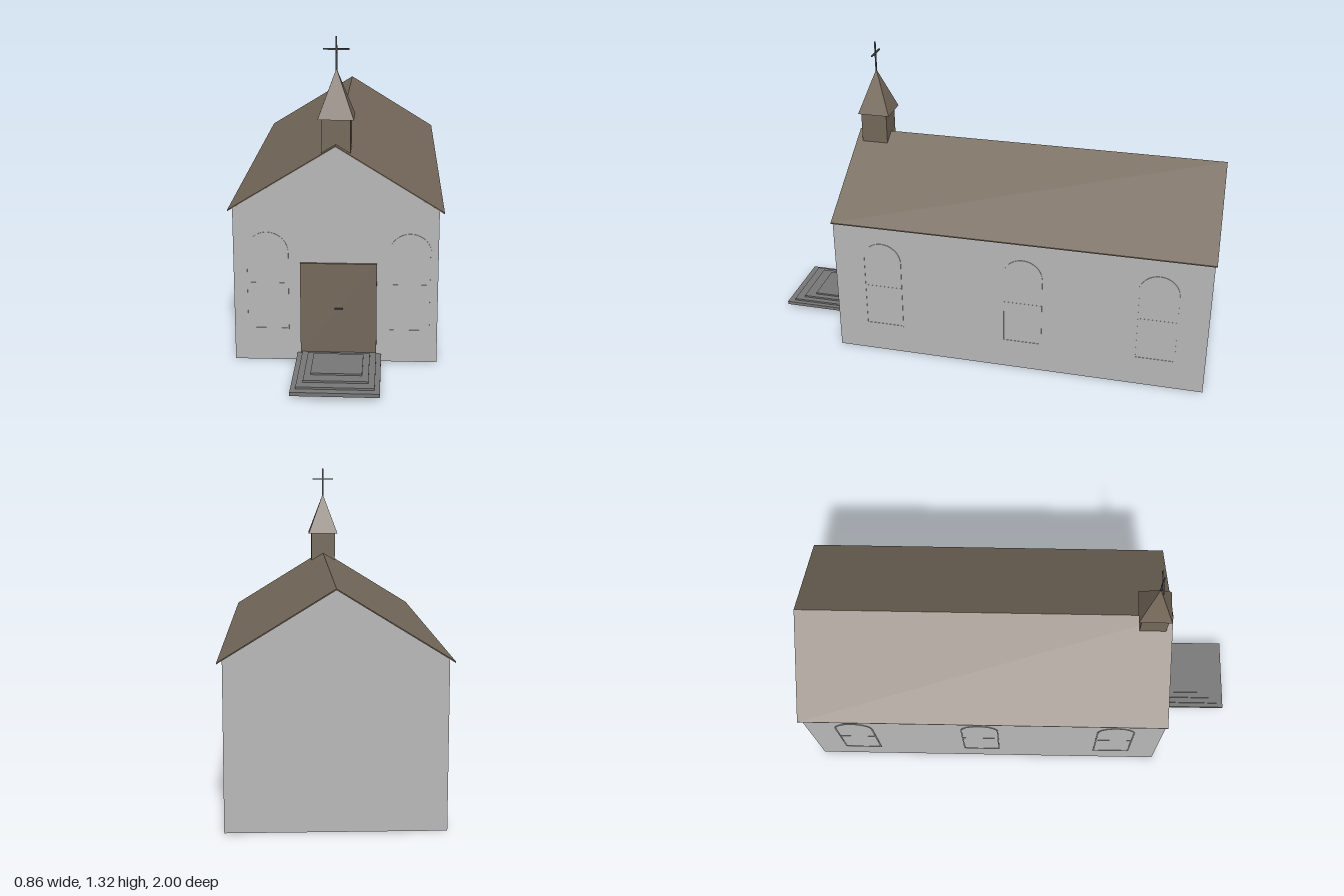
import * as THREE from 'three';

const mat = (name, color, side = THREE.FrontSide) => {
  const m = new THREE.MeshStandardMaterial({ color, side });
  m.name = name;
  return m;
};

export function createModel() {
  const wall = mat('pale stone', 0xb8b8b8);
  const brown = mat('brown timber', 0x74685a);
  const stone = mat('step stone', 0x777777);
  const iron = mat('dark iron', 0x4a4d52);
  const root = new THREE.Group();
  root.name = 'chapel';
  const CX = -0.005; // ridge line

  const add = (name, geo, material, parent = root) => {
    const m = new THREE.Mesh(geo, material);
    m.name = name;
    parent.add(m);
    return m;
  };
  // Box given by its limits on each axis
  const box = (name, [x0, x1], [y0, y1], [z0, z1], material, parent) => {
    const m = add(name, new THREE.BoxGeometry(x1 - x0, y1 - y0, z1 - z0), material, parent);
    m.position.set((x0 + x1) / 2, (y0 + y1) / 2, (z0 + z1) / 2);
    return m;
  };
  // Outline in x and y pulled along z
  const prism = (name, pts, z0, z1, material) => {
    const shape = new THREE.Shape(pts.map(([x, y]) => new THREE.Vector2(x, y)));
    const geo = new THREE.ExtrudeGeometry(shape, { depth: z1 - z0, bevelEnabled: false });
    add(name, geo, material).position.set(CX, 0, z0);
  };

  // Gabled body and thin roof
  prism('walls', [[-0.41, 0], [0.41, 0], [0.41, 0.642], [0, 0.895], [-0.41, 0.642]], -0.99, 0.64, wall);
  prism('roof', [[-0.43, 0.63], [0, 0.895], [0.43, 0.63], [0.43, 0.635], [0, 0.9], [-0.43, 0.635]], -0.997, 0.641, brown);

  // Bell tower, spire and cross
  const TZ = 0.555;
  box('belfry', [CX - 0.058, CX + 0.058], [0.862, 1], [TZ - 0.058, TZ + 0.058], brown);
  const spireGeo = new THREE.ConeGeometry(0.071 * Math.SQRT2, 0.192, 4).toNonIndexed();
  spireGeo.rotateY(Math.PI / 4);
  spireGeo.computeVertexNormals();
  add('spire', spireGeo, brown).position.set(CX, 1.094, TZ - 0.003);
  const cross = new THREE.Group();
  cross.name = 'cross';
  cross.position.set(CX, 0, TZ - 0.003);
  root.add(cross);
  box('crossPost', [-0.003, 0.003], [1.175, 1.315], [-0.003, 0.003], iron, cross);
  box('crossBar', [-0.051, 0.051], [1.262, 1.268], [-0.003, 0.003], iron, cross);

  // Door with handle
  box('door', [-0.147, 0.16], [0.035, 0.42], [0.635, 0.65], brown);
  box('doorHandle', [-0.008, 0.026], [0.227, 0.232], [0.65, 0.656], iron);

  // Stacked entrance steps, each set in from the one below
  [[0.17, 0.018, 0.033, 0.642, 1], [0.15, 0.033, 0.041, 0.65, 0.97],
    [0.125, 0.041, 0.049, 0.675, 0.93], [0.1, 0.049, 0.056, 0.7, 0.88]]
    .forEach(([w, y0, y1, z0, z1], i) =>
      box(`step${i + 1}`, [0.01 - w, 0.01 + w], [y0, y1], [z0, z1], stone));

  // Arched window: a flat pane with a slightly raised frame
  const arch = (Type, r, y0) => {
    const s = new Type();
    s.moveTo(-r, y0);
    s.lineTo(r, y0);
    s.lineTo(r, 0.46);
    s.absarc(0, 0.46, r, 0, Math.PI, false);
    s.lineTo(-r, y0);
    return s;
  };
  const frameShape = arch(THREE.Shape, 0.086, 0.133);
  frameShape.holes.push(arch(THREE.Path, 0.08, 0.139));
  const extrude = (s, depth) => new THREE.ExtrudeGeometry(s, { depth, bevelEnabled: false, curveSegments: 14 });
  const frameGeo = extrude(frameShape, 0.003);
  const paneGeo = extrude(arch(THREE.Shape, 0.081, 0.138), 0.001);
  const windowAt = (x, z, turn) => {
    const g = new THREE.Group();
    g.name = 'window';
    g.position.set(x, 0, z);
    g.rotation.y = turn;
    root.add(g);
    add('windowFrame', frameGeo, wall, g);
    add('windowPane', paneGeo, wall, g);
    box('windowBar', [-0.081, 0.081], [0.328, 0.333], [0, 0.002], wall, g);
  };
  for (const x of [-0.28, 0.293]) windowAt(x, 0.64, 0);
  for (const z of [0.425, -0.2, -0.775])
    for (const s of [-1, 1]) windowAt(CX + s * 0.41, z, s * Math.PI / 2);

  return root;
}
